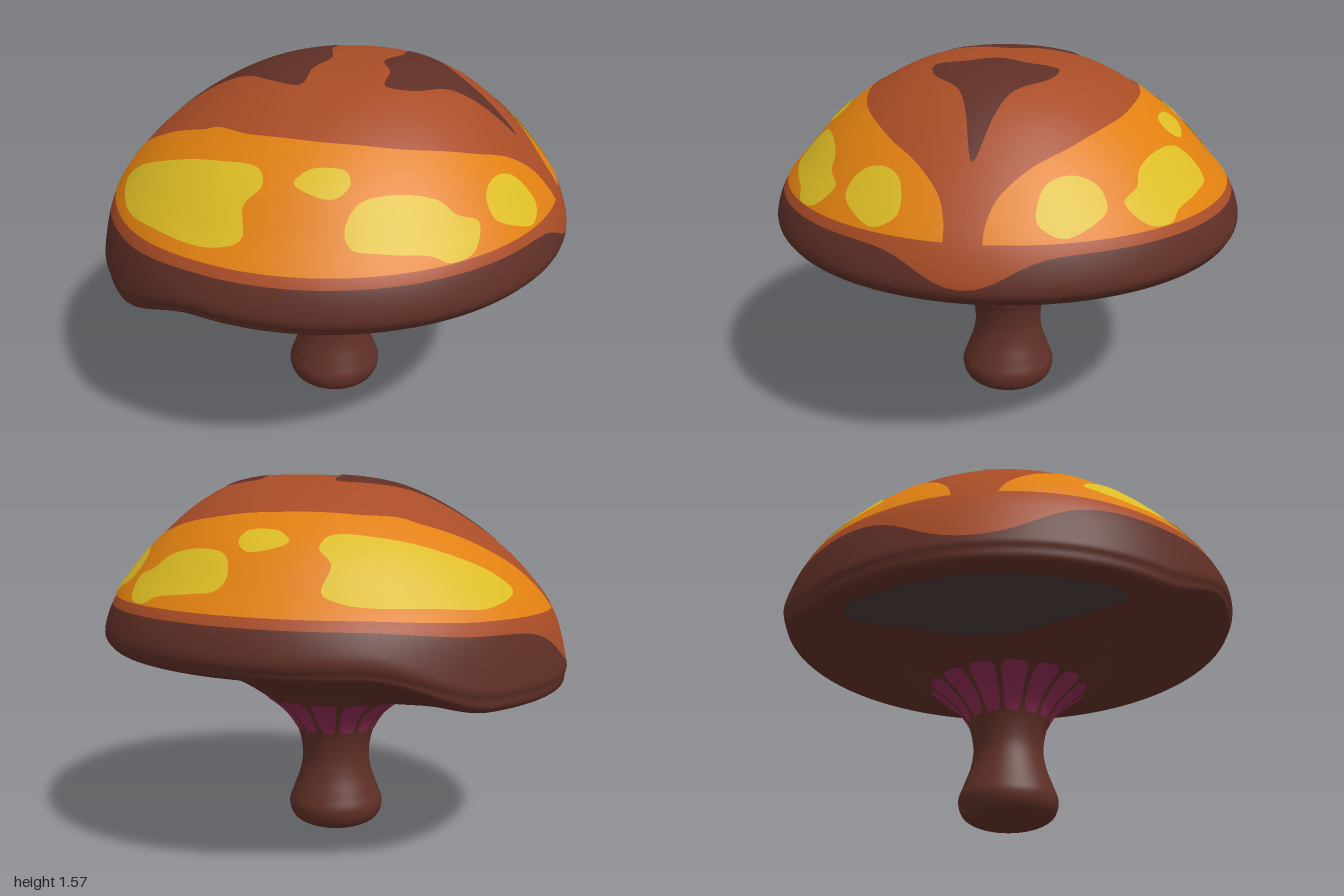
import * as THREE from 'three';
import { mergeVertices } from 'three/addons/utils/BufferGeometryUtils.js';

const mat = (name, color, side = THREE.FrontSide) =>
  Object.assign(new THREE.MeshStandardMaterial({ color, side }), { name });

// Rings from crown to foot: [x at +x end, y there, x at -x end, y there, z radius, sector blend]
const RINGS = [
  [0.09, 1.56, 0.09, 1.56, 0, 0],
  [0.28, 1.56, -0.1, 1.555, 0.18, 0],
  [0.45, 1.525, -0.3, 1.515, 0.35, 0],
  [0.61, 1.435, -0.5, 1.42, 0.53, 0],
  [0.76, 1.3, -0.7, 1.28, 0.71, 0],
  [0.88, 1.16, -0.85, 1.13, 0.845, 0],
  [0.96, 1.04, -0.95, 0.98, 0.95, 0.4],
  [1.0, 0.92, -1.0, 0.8, 0.99, 1],
  [0.98, 0.86, -1.0, 0.74, 0.98, 1],
  [0.9, 0.82, -0.96, 0.68, 0.93, 1],
  [0.62, 0.76, -0.7, 0.652, 0.65, 1],
  [0.46, 0.695, -0.5, 0.63, 0.48, 1],
  [0.34, 0.62, -0.36, 0.61, 0.35, 1],
  [0.24, 0.54, -0.24, 0.54, 0.24, 0],
  [0.175, 0.45, -0.175, 0.45, 0.175, 0],
  [0.15, 0.34, -0.15, 0.34, 0.15, 0],
  [0.16, 0.25, -0.16, 0.25, 0.16, 0],
  [0.19, 0.165, -0.19, 0.165, 0.19, 0],
  [0.21, 0.1, -0.21, 0.1, 0.21, 0],
  [0.185, 0.035, -0.185, 0.035, 0.185, 0],
  [0.105, 0, -0.105, 0, 0.105, 0],
  [0, 0, 0, 0, 0, 0],
];
const LAST = RINGS.length - 1;

// Smoothly interpolated ring at profile position v
function ring(v) {
  const i = Math.min(Math.floor(v), LAST - 1), t = v - i;
  const at = k => RINGS[Math.max(0, Math.min(LAST, k))];
  return RINGS[0].map((_, c) => {
    const [a, b, d, e] = [at(i - 1)[c], at(i)[c], at(i + 1)[c], at(i + 2)[c]];
    return b + 0.5 * t * (d - a + t * (2 * a - 5 * b + 4 * d - e + t * (3 * (b - d) + e - a)));
  });
}

// Point on the body; the cap droops into a lip over a sector around -x
function surface(theta, v) {
  const [xa, ya, xb, yb, rz, s] = ring(v);
  const cos = Math.cos(theta), phi = Math.acos(Math.max(-1, Math.min(1, -cos)));
  const sector = 1 - THREE.MathUtils.smoothstep(phi, 0.76, 1.32);
  const w = THREE.MathUtils.lerp((1 - cos) / 2, sector, THREE.MathUtils.clamp(s, 0, 1));
  return new THREE.Vector3((xa + xb) / 2 + cos * (xa - xb) / 2,
    Math.max(0, ya + (yb - ya) * w), Math.sin(theta) * rz);
}

function bisect(f, lo, hi) {
  const sign = Math.sign(f(lo));
  for (let i = 0; i < 30; i++) {
    const m = (lo + hi) / 2;
    if (Math.sign(f(m)) === sign) lo = m; else hi = m;
  }
  return lo;
}

// Surface coordinates [theta, v] from plan position (x, z)
function planCoords(x, z, lo = 0, hi = 7) {
  const local = v => {
    const [xa, , xb, , rz] = ring(v);
    return [(x - (xa + xb) / 2) / Math.max((xa - xb) / 2, 1e-4), z / Math.max(rz, 1e-4)];
  };
  const v = bisect(k => Math.hypot(...local(k)) - 1, lo, hi);
  const [c, s] = local(v);
  return [Math.atan2(s, c), v];
}
const fromPlan = (x, z) => surface(...planCoords(x, z));
const fromBelow = (x, z) => surface(...planCoords(x, z, 7.5, 13));

// Surface point from elevation position (x, y) on the +z half
function fromFront(x, y) {
  const angle = v => {
    const [xa, , xb] = ring(v);
    return Math.acos(THREE.MathUtils.clamp((x - (xa + xb) / 2) / ((xa - xb) / 2), -1, 1));
  };
  const v = bisect(k => surface(angle(k), k).y - y, 1, 7);
  return surface(angle(v), v);
}

// Grid of points f(u, row), faced outward and lifted along its normals
function grid(nu, nv, f, lift = 0) {
  const pos = [], index = [];
  for (let j = 0; j <= nv; j++)
    for (let i = 0; i <= nu; i++) pos.push(...f(i / nu, j).toArray());
  for (let j = 0; j < nv; j++)
    for (let i = 0; i < nu; i++) {
      const a = j * (nu + 1) + i, b = a + nu + 1;
      index.push(a, a + 1, b, a + 1, b + 1, b);
    }
  let geo = new THREE.BufferGeometry();
  geo.setAttribute('position', new THREE.Float32BufferAttribute(pos, 3));
  geo.setIndex(index);
  geo = mergeVertices(geo, 1e-5);
  geo.computeVertexNormals();
  const p = geo.attributes.position, n = geo.attributes.normal, ix = geo.index;
  let facing = 0;
  for (let i = 0; i < p.count; i++)
    facing += p.getX(i) * n.getX(i) + (p.getY(i) - 0.9) * n.getY(i) + p.getZ(i) * n.getZ(i);
  if (facing < 0) {
    for (let i = 0; i < ix.count; i += 3) {
      const t = ix.getX(i);
      ix.setX(i, ix.getX(i + 1));
      ix.setX(i + 1, t);
    }
    geo.computeVertexNormals();
  }
  for (let i = 0; i < p.count; i++)
    p.setXYZ(i, p.getX(i) + n.getX(i) * lift, p.getY(i) + n.getY(i) * lift, p.getZ(i) + n.getZ(i) * lift);
  return geo;
}

const curveOf = (pts, closed) =>
  new THREE.CatmullRomCurve3(pts.map(([a, b]) => new THREE.Vector3(a, b, 0)), closed);

// Blob painted on the surface from a closed outline in one of the projections
function blob(outline, project, side, lift) {
  const curve = curveOf(outline, true), n = 8;
  const mid = outline.reduce((m, [a, b]) => [m[0] + a / outline.length, m[1] + b / outline.length], [0, 0]);
  return grid(80, n, (u, j) => {
    const q = curve.getPoint(u % 1), k = j / n;
    const p = project(mid[0] + (q.x - mid[0]) * k, mid[1] + (q.y - mid[1]) * k);
    p.z *= side;
    return p;
  }, lift);
}
const mirrored = half => [...half, ...half.filter(p => p[1] !== 0).reverse().map(([x, z]) => [x, -z])];

export function createModel() {
  const model = new THREE.Group();
  const brown = mat('dark brown', 0x5f2f26), rust = mat('rust', 0xa84c26);
  const orange = mat('orange', 0xe08010, THREE.DoubleSide), yellow = mat('yellow', 0xdcbc24, THREE.DoubleSide);
  const magenta = mat('magenta', 0x8e2c54, THREE.DoubleSide), grey = mat('dark grey', 0x4a3a38, THREE.DoubleSide);
  const add = (name, geo, material) => {
    const mesh = new THREE.Mesh(geo, material);
    mesh.name = name;
    model.add(mesh);
  };

  // Cap and stem in one skin, split where the rust dome meets the dark rim
  const NU = 120, ND = 44, NS = 100;
  const border = t => {
    const a = Math.min(t, 2 * Math.PI - t), b = Math.PI - a;
    return 6.1 + Math.exp(-((a / 0.2) ** 2)) + Math.exp(-((b / 0.3) ** 2));
  };
  const body = grid(NU, ND + NS, (u, j) => {
    const t = (u % 1) * 2 * Math.PI, vb = border(t);
    return surface(t, j <= ND ? vb * j / ND : vb + (LAST - vb) * (j - ND) / NS);
  });
  body.addGroup(0, NU * ND * 6, 0);
  body.addGroup(NU * ND * 6, NU * NS * 6, 1);
  add('capAndStem', body, [rust, brown]);

  // Orange bands and yellow spots, mirrored front and back
  const bandTop = curveOf([[0.94, 0.07], [0.91, 0.073], [0.85, 0.1], [0.76, 0.19], [0.62, 0.345], [0.4, 0.49],
    [0.2, 0.545], [0.05, 0.556], [-0.19, 0.52], [-0.35, 0.445], [-0.41, 0.43], [-0.66, 0.29],
    [-0.77, 0.2], [-0.87, 0.12], [-0.925, 0.09]], false);
  const frontSpots = {
    longSpot: [[-0.77, 1.1], [-0.7, 1.17], [-0.5, 1.26], [-0.3, 1.31], [-0.1, 1.32], [-0.075, 1.28],
      [-0.13, 1.22], [-0.11, 1.13], [-0.2, 1.09], [-0.5, 1.07], [-0.7, 1.06]],
    smallSpot: [[0.04, 1.3], [0.08, 1.335], [0.15, 1.345], [0.22, 1.335], [0.24, 1.3], [0.2, 1.265], [0.1, 1.275]],
    wideSpot: [[0.25, 1.18], [0.28, 1.25], [0.4, 1.27], [0.54, 1.24], [0.61, 1.19], [0.69, 1.15],
      [0.69, 1.075], [0.62, 1.06], [0.55, 1.09], [0.4, 1.11], [0.28, 1.13]],
  };
  const endSpot = [[0.7, 0.45], [0.74, 0.48], [0.86, 0.37], [0.88, 0.3], [0.865, 0.245], [0.78, 0.26], [0.71, 0.36]];
  for (const [label, side] of [['front', 1], ['back', -1]]) {
    add(label + 'OrangeBand', grid(120, 24, (u, j) => {
      const q = bandTop.getPoint(u), [t, v] = planCoords(q.x, q.y);
      const p = surface(t, THREE.MathUtils.lerp(Math.min(v, 5.79), 5.8, j / 24));
      p.z *= side;
      return p;
    }, 0.003), orange);
    for (const [name, outline] of Object.entries(frontSpots))
      add(label + name, blob(outline, fromFront, side, 0.007), yellow);
    add(label + 'endSpot', blob(endSpot, fromPlan, side, 0.007), yellow);
  }

  // Dark pointed markings on the crown
  add('rightCrownMark', blob(mirrored([[-0.7, 0], [-0.5, 0.06], [-0.35, 0.12], [-0.2, 0.23], [-0.07, 0.29],
    [-0.05, 0.27], [-0.05, 0.15], [-0.01, 0]]), fromPlan, 1, 0.003), brown);
  add('leftCrownMark', blob(mirrored([[0.21, 0], [0.26, 0.12], [0.265, 0.24], [0.29, 0.25], [0.38, 0.22],
    [0.5, 0.1], [0.6, 0.055], [0.76, 0]]), fromPlan, 1, 0.003), brown);

  // Grey patch under the lip
  add('lipPatch', blob(mirrored([[-0.52, 0], [-0.53, 0.14], [-0.57, 0.25], [-0.68, 0.54], [-0.76, 0.51],
    [-0.88, 0.28], [-0.93, 0.06]]), fromBelow, 1, 0.004), grey);

  // Magenta gills around the neck
  const GILLS = 14;
  for (let i = 0; i < GILLS; i++)
    add('gill', grid(6, 14, (u, j) => {
      const k = j / 14, spread = 0.82 * Math.min(1, 0.7 + k * 1.5, 0.6 + (1 - k) * 4);
      return surface((i + 0.5 + (u - 0.5) * spread) * 2 * Math.PI / GILLS, 12.1 + 1.9 * (1 - k));
    }, 0.004), magenta);
  return model;
}
